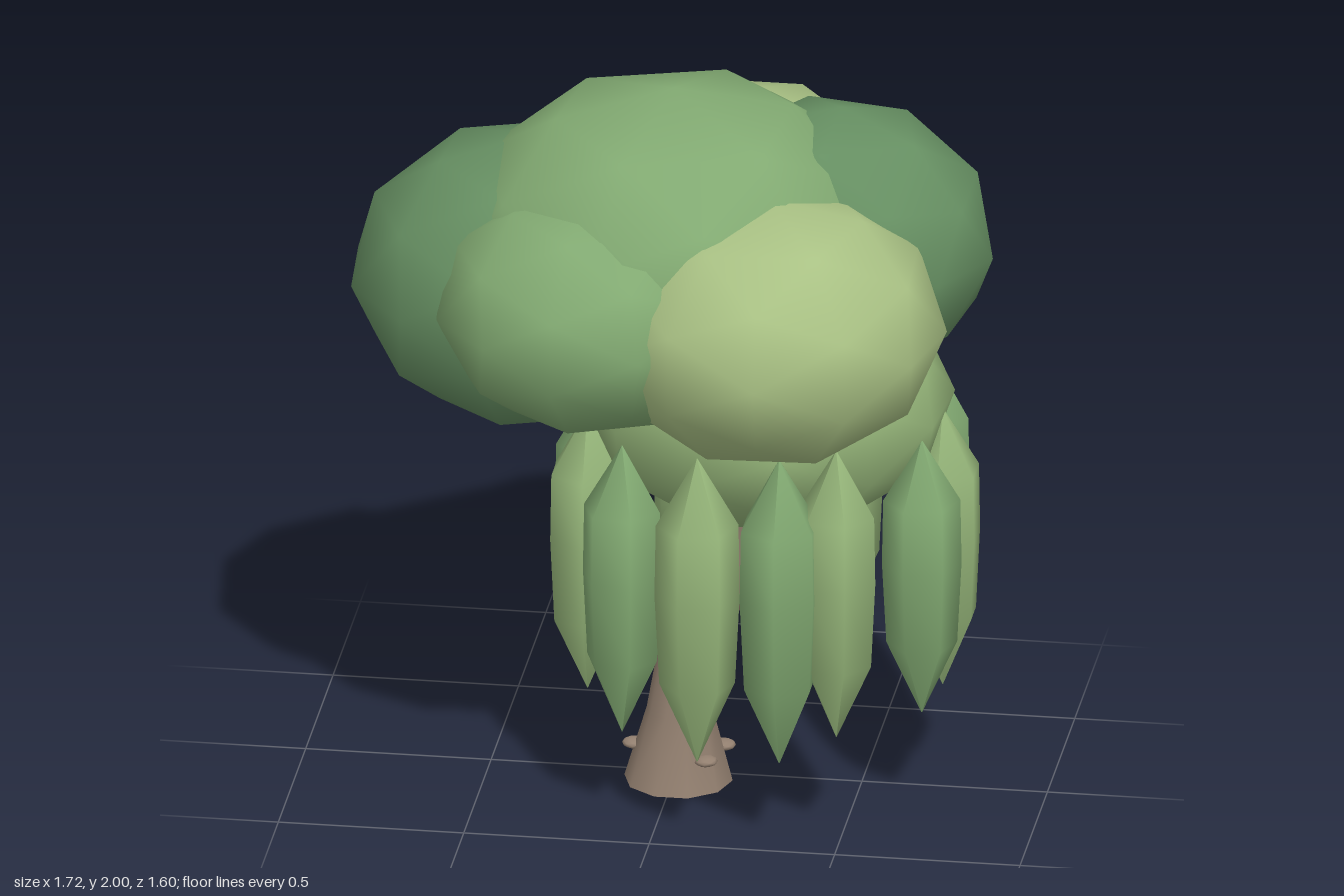
import * as THREE from 'three';
import { mergeVertices } from 'three/addons/utils/BufferGeometryUtils.js';

const mat = (color, side = THREE.FrontSide) => new THREE.MeshStandardMaterial({ color, roughness: 0.9, side });
const DARK = mat(0x668f62), MID = mat(0x82aa72), LIGHT = mat(0xa9c184), SOFT = mat(0x96b67a);
const BARK = mat(0x938070, THREE.DoubleSide);

// Smooth-shaded low-poly ball, squashed to an ellipsoid
function blob(name, material, [x, y, z], [rx, ry, rz], turn = 0, tilt = 0) {
  let geo = new THREE.IcosahedronGeometry(1, 1);
  geo.deleteAttribute('uv');
  geo.deleteAttribute('normal');
  geo = mergeVertices(geo, 1e-4);
  geo.rotateZ(tilt).rotateY(turn).scale(rx, ry, rz).translate(x, y, z);
  geo.computeVertexNormals();
  const mesh = new THREE.Mesh(geo, material);
  mesh.name = name;
  return mesh;
}

// Tapered open limb: rings of [x, y, z, radius]
function limb(name, rings, sides = 10) {
  const pos = [], idx = [];
  for (const [x, y, z, r] of rings) {
    for (let i = 0; i < sides; i++) {
      const a = (i / sides) * Math.PI * 2;
      pos.push(x + r * Math.cos(a), y, z + r * Math.sin(a));
    }
  }
  for (let k = 0; k < rings.length - 1; k++) {
    for (let i = 0; i < sides; i++) {
      const a = k * sides + i, b = k * sides + (i + 1) % sides;
      idx.push(a, a + sides, b, b, a + sides, b + sides);
    }
  }
  const geo = new THREE.BufferGeometry();
  geo.setAttribute('position', new THREE.Float32BufferAttribute(pos, 3));
  geo.setIndex(idx);
  geo.computeVertexNormals();
  const mesh = new THREE.Mesh(geo, BARK);
  mesh.name = name;
  return mesh;
}

// Hanging six-sided frond, pointed at both ends; shorter ones are slimmer
function frond(x, z, top, tip, turn, material) {
  const h = top - tip, w = 0.04 + 0.084 * h;
  const profile = [[0.01, 0], [0.89, 0.26], [1, 0.55], [0.97, 0.78], [0.01, 1]];
  const geo = new THREE.LatheGeometry(profile.map(([r, t]) => new THREE.Vector2(r * w, t * h)), 6);
  const mesh = new THREE.Mesh(geo, material);
  mesh.position.set(x, tip, z);
  mesh.rotation.y = turn;
  mesh.name = 'frond';
  return mesh;
}

export function createModel() {
  const tree = new THREE.Group();
  tree.name = 'tree';

  // Trunk with flared foot, and a side branch into the low crown
  tree.add(limb('trunk', [
    [0.012, 0, 0.045, 0.146], [0.016, 0.2, 0.045, 0.09], [0.045, 0.5, 0.045, 0.066],
    [0.06, 0.8, 0.045, 0.05], [0.06, 1.4, 0.03, 0.045],
  ]));
  tree.add(limb('branch', [
    [0.04, 0.25, 0.045, 0.055], [0.1, 0.45, 0.05, 0.058], [0.17, 0.62, 0.055, 0.057],
    [0.225, 0.78, 0.06, 0.055], [0.265, 1.0, 0.06, 0.05],
  ], 8));

  // Small knobs round the foot
  const knobs = new THREE.Group();
  knobs.name = 'rootKnobs';
  for (const deg of [45, -15, 185, 232, 285]) {
    const a = THREE.MathUtils.degToRad(deg);
    knobs.add(blob('knob', BARK, [0.012 + 0.122 * Math.cos(a), 0.09, 0.045 + 0.122 * Math.sin(a)], [0.032, 0.014, 0.032]));
  }
  tree.add(knobs);

  // Crown
  const crown = new THREE.Group();
  crown.name = 'crown';
  crown.add(
    blob('topCrown', MID, [0, 1.54, 0.04], [0.61, 0.46, 0.605], 0.3),
    blob('frontLeftCrown', LIGHT, [0.3, 1.455, 0.33], [0.475, 0.365, 0.475], 0.05),
    blob('frontRightCrown', MID, [-0.17, 1.48, 0.32], [0.44, 0.335, 0.43], 0.4),
    blob('rightCrown', DARK, [-0.37, 1.435, 0.025], [0.51, 0.405, 0.49], 0.35),
    blob('leftCrown', DARK, [0.41, 1.54, -0.09], [0.44, 0.375, 0.4], 0.2, 0.5),
    blob('backCrown', LIGHT, [0.11, 1.445, -0.33], [0.475, 0.4, 0.47]),
    blob('lowCrown', SOFT, [0.25, 1.12, 0.02], [0.5, 0.35, 0.48], 0.2),
  );
  tree.add(crown);

  // Ring of fronds: [angle in degrees, top, tip]
  const fronds = new THREE.Group();
  fronds.name = 'fronds';
  [
    [-4, 1.1, 0.3], [20, 1.09, 0.3], [58, 1.15, 0.32], [77, 1.14, 0.26], [104, 1.13, 0.25], [135, 1.1, 0.27],
    [167, 1.1, 0.29], [189, 1.1, 0.29], [235, 1.09, 0.42], [264, 1.12, 0.3], [287, 1.12, 0.26], [330, 1.17, 0.36],
  ].forEach(([deg, top, tip], i) => {
    const a = THREE.MathUtils.degToRad(deg);
    fronds.add(frond(0.245 + 0.475 * Math.cos(a), 0.04 + 0.48 * Math.sin(a), top, tip, i * 0.7, i % 2 ? MID : SOFT));
  });
  tree.add(fronds);

  return tree;
}
